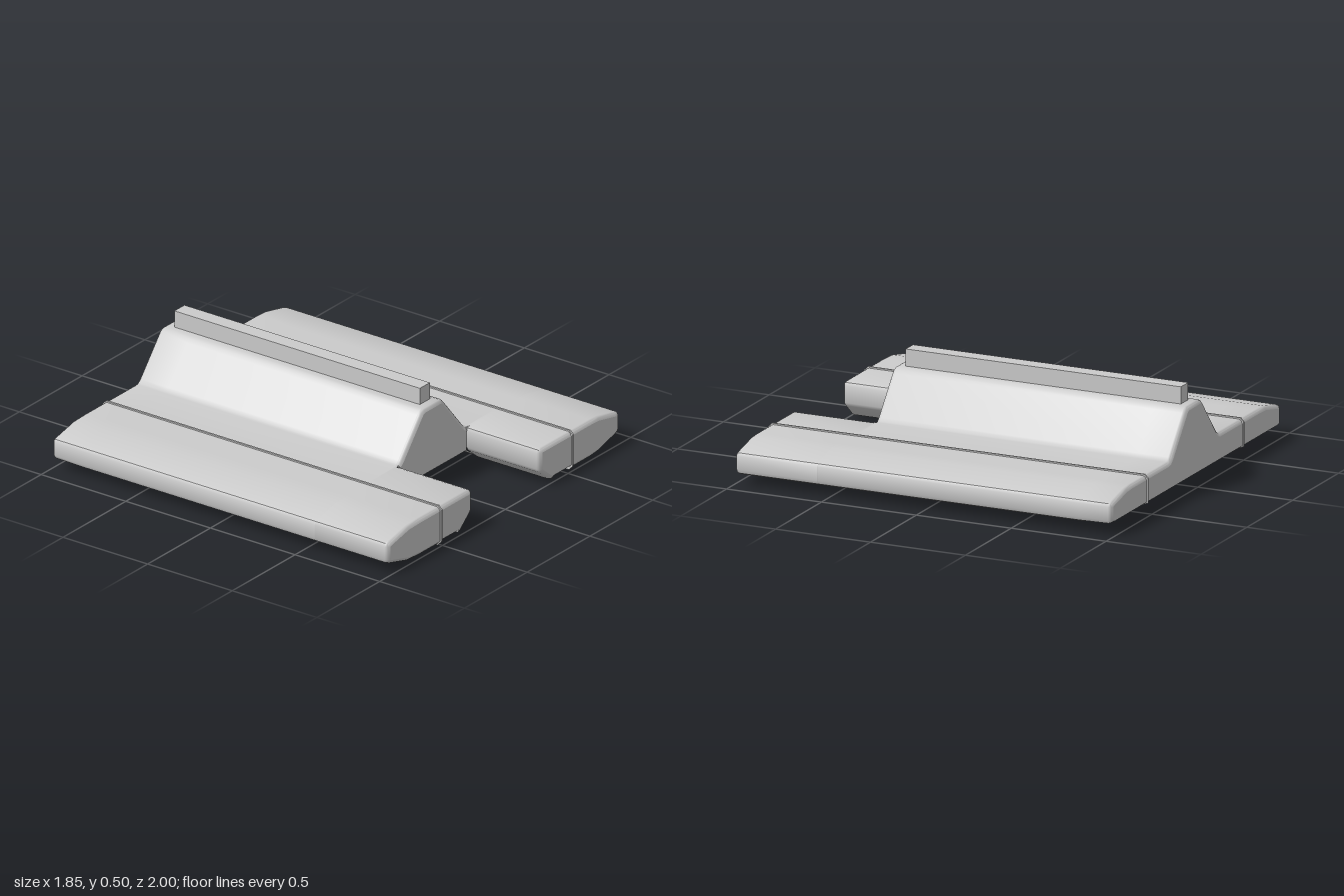
import * as THREE from 'three';
import { mergeVertices, toCreasedNormals } from 'three/addons/utils/BufferGeometryUtils.js';

const FRONT = 0.993, BACK = -0.993, NOTCH = 0.56;
const material = new THREE.MeshStandardMaterial({ color: 0xcccccc, side: THREE.DoubleSide });

function add(group, name, geometry) {
  const mesh = new THREE.Mesh(geometry, material);
  mesh.name = name;
  group.add(mesh);
  return mesh;
}

// Swap a left-hand profile to the right-hand side
const mirror = pts => pts.map(([x, y]) => [x > 0.7 ? -x : 0.035 - x, y]).reverse();

// Underside rises towards the back
const lift = (pts, z) => {
  const floor = 0.008 + 0.062 * THREE.MathUtils.clamp((-0.82 - z) / 0.173, 0, 1);
  return pts.map(([x, y]) => [x, Math.max(y, floor)]);
};

// Move an open counter-clockwise profile inwards
function inset(pts, d, only = () => true) {
  return pts.map((p, i) => {
    if (!d || !only(p)) return p;
    const a = pts[Math.max(i - 1, 0)], b = pts[Math.min(i + 1, pts.length - 1)];
    const dx = b[0] - a[0], dy = b[1] - a[1], l = Math.hypot(dx, dy);
    return [p[0] - (dy / l) * d, p[1] + (dx / l) * d];
  });
}

// Skin through cross-sections given as { z, pts }
function loft(sections) {
  const n = sections[0].pts.length, pos = [], index = [];
  sections.forEach(({ z, pts }, k) => pts.forEach(([x, y], i) => {
    pos.push(x, y, z);
    if (k && i < n - 1) {
      const a = (k - 1) * n + i, b = k * n + i;
      index.push(a, a + 1, b + 1, a, b + 1, b);
    }
  }));
  const g = new THREE.BufferGeometry();
  g.setAttribute('position', new THREE.Float32BufferAttribute(pos, 3));
  g.setIndex(index);
  return toCreasedNormals(mergeVertices(g), 0.7);
}

function cap({ z, pts }) {
  const shape = new THREE.Shape(pts.map(p => new THREE.Vector2(...p)));
  return new THREE.ShapeGeometry(shape).translate(0, 0, z);
}

// Flat convex panel as a triangle fan
function panel(corners) {
  const pos = [];
  for (let i = 1; i < corners.length - 1; i++) pos.push(...corners[0], ...corners[i], ...corners[i + 1]);
  const g = new THREE.BufferGeometry();
  g.setAttribute('position', new THREE.Float32BufferAttribute(pos, 3));
  g.computeVertexNormals();
  return g;
}

export function createModel() {
  const model = new THREE.Group();

  // Profiles: outer edge of a side float, its inner wall, and the central ridge
  const outer = [[0.54, 0.008], [0.7, 0.008], [0.76, 0.014], [0.895, 0.05], [0.917, 0.06], [0.925, 0.078],
    [0.925, 0.145], [0.917, 0.16], [0.895, 0.168], [0.76, 0.197], [0.7, 0.2], [0.54, 0.2]];
  const inner = [[0.31, 0.2], [0.292, 0.194], [0.285, 0.178], [0.285, 0.095], [0.295, 0.077], [0.37, 0.014], [0.39, 0.008]];
  const ridge = [[0.30, 0.2], [0.285, 0.203], [0.268, 0.217], [0.118, 0.395], [0.103, 0.411], [0.08, 0.42],
    [-0.045, 0.42], [-0.068, 0.411], [-0.083, 0.395], [-0.233, 0.217], [-0.25, 0.203], [-0.265, 0.2]];
  const rounding = [[0.02, 0], [0.012, 0.0027], [0.006, 0.008], [0, 0.02]];

  // Main hull with the ridge, behind the notch
  const hull = [...outer, ...ridge, ...mirror(outer)];
  const isRidge = p => p[1] > 0.201;
  const hullSections = [
    ...[...rounding].reverse().map(([dz, d]) => ({ z: BACK + dz, pts: lift(inset(hull, d), BACK + dz) })),
    { z: -0.82, pts: hull },
    ...rounding.map(([dz, d]) => ({ z: NOTCH - dz, pts: inset(hull, d, isRidge) })),
  ];
  add(model, 'hullShell', loft(hullSections));
  add(model, 'backWall', cap(hullSections[0]));

  // Ridge front wall with its tucked-in lower lip
  const wall = inset(hull, 0.02, isRidge).slice(outer.length, outer.length + ridge.length);
  add(model, 'ridgeFrontWall', cap({ z: NOTCH, pts: [...wall, [-0.25, 0.18], [-0.25, 0.08], [0.285, 0.08], [0.285, 0.18]] }));
  add(model, 'ridgeFrontLip', panel([[-0.25, 0.08, NOTCH], [-0.355, 0.008, 0.45], [0.39, 0.008, 0.45], [0.285, 0.08, NOTCH]]));

  // Rising panel under the back edge
  add(model, 'backBevel', panel([[-0.505, 0.008, -0.82], [-0.505, 0.07, BACK], [0.54, 0.07, BACK], [0.54, 0.008, -0.82]]));

  // Front arms either side of the notch
  const leftArm = [...outer, ...inner];
  for (const [side, pts] of [['left', leftArm], ['right', mirror(leftArm)]]) {
    const sections = [{ z: NOTCH, pts },
      ...rounding.map(([dz, d]) => ({ z: FRONT - dz, pts: inset(pts, d) }))];
    add(model, side + 'ArmShell', loft(sections));
    add(model, side + 'ArmFrontWall', cap(sections[sections.length - 1]));
    // Bevel corner where the arm meets the ridge lip
    const x0 = side === 'left' ? 0.285 : -0.25, x1 = side === 'left' ? 0.39 : -0.355;
    add(model, side + 'LipCorner', panel([[x0, 0.08, NOTCH], [x1, 0.008, NOTCH], [x1, 0.008, 0.45]]));
  }

  // Thin seam bands running right round the hull
  const bandLoop = d => [[0.978 - d, d], [1 - d, 0.022 + d / 2], [1 - d, 0.188 - d / 2], [0.981 - d, 0.207 - d],
    [-0.981 + d, 0.207 - d], [-1 + d, 0.188 - d / 2], [-1 + d, 0.066 + d / 2], [-0.82, d]].map(p => new THREE.Vector2(...p));
  for (const x of [0.54, -0.505]) {
    const shape = new THREE.Shape(bandLoop(0));
    shape.holes.push(new THREE.Path(bandLoop(0.012)));
    const g = new THREE.ExtrudeGeometry(shape, { depth: 0.01, bevelEnabled: false });
    add(model, x > 0 ? 'leftSeamBand' : 'rightSeamBand', g.translate(0, 0, -0.005).rotateY(-Math.PI / 2).translate(x, 0, 0));
  }

  // Rail along the top of the ridge
  add(model, 'topRail', new THREE.BoxGeometry(0.08, 0.09, 1.45)).position.set(0.02, 0.46, -0.215);

  return model;
}
